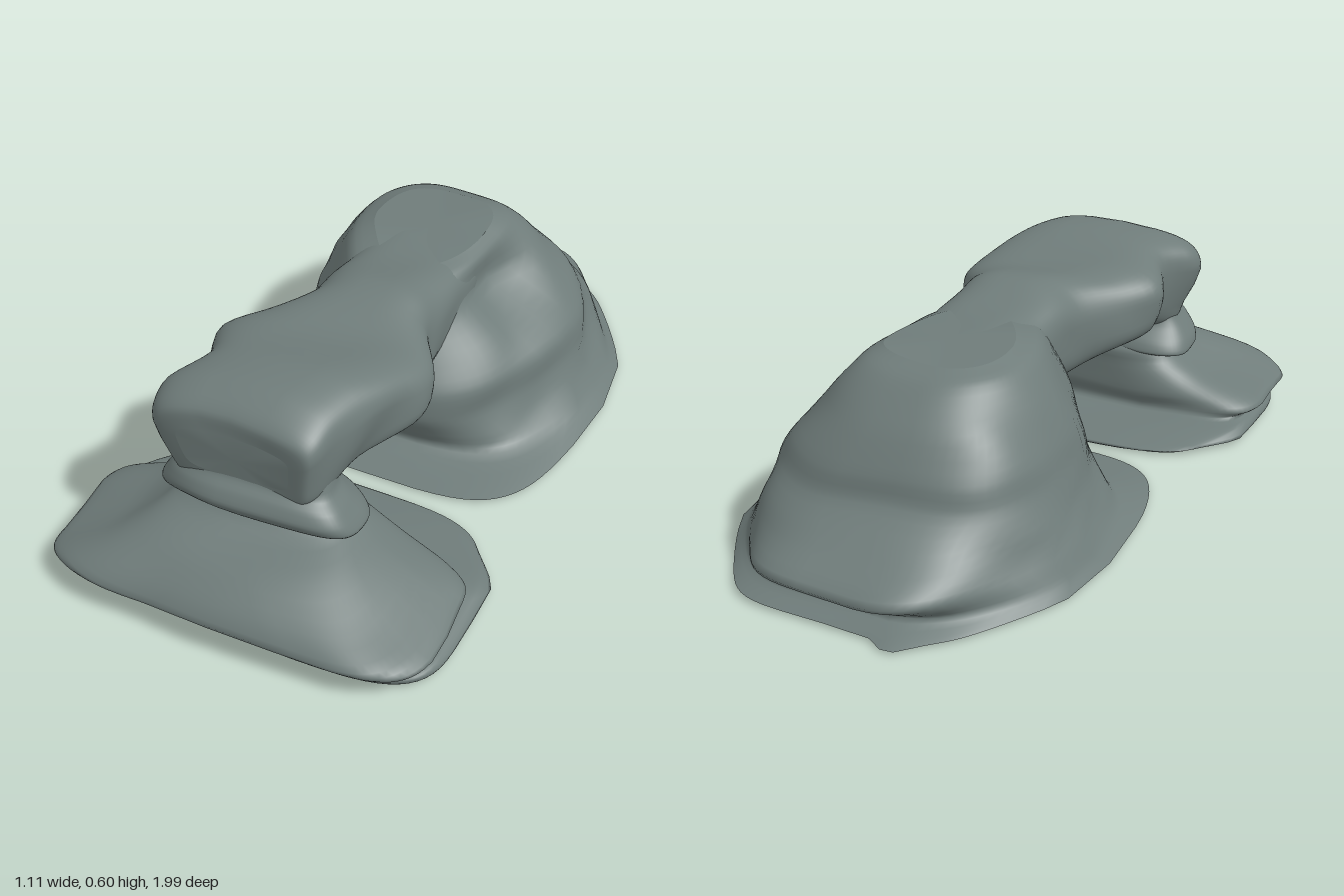
import * as THREE from 'three';

const SIDES = 64;
const { smoothstep } = THREE.MathUtils;
const bump = (t, width) => Math.exp(-((t / width) ** 2));

// Rounded-rectangle ring from bounds; place(u, v) puts it in space
function boxRing(u0, u1, v0, v1, power, place) {
  return Array.from({ length: SIDES }, (_, i) => {
    const a = (i / SIDES) * Math.PI * 2, c = Math.cos(a), s = Math.sin(a);
    const bend = (t) => Math.sign(t) * Math.abs(t) ** (2 / power);
    return place((u0 + u1) / 2 + bend(c) * (u1 - u0) / 2, (v0 + v1) / 2 + bend(s) * (v1 - v0) / 2);
  });
}

// Gentle weathering that leaves the ground level alone
function weather(p) {
  const k = 0.006 * Math.min(1, p.y / 0.1);
  p.x += k * Math.sin(17 * p.z + 9 * p.y) + k * 0.5 * Math.sin(31 * p.y + 23 * p.z);
  p.z += k * Math.sin(15 * p.x + 11 * p.y);
  p.y = Math.max(0, p.y + k * 0.8 * Math.sin(13 * p.x + 14 * p.z));
  return p;
}

// Skin through rings, splined between them, with both ends capped
function loft(rings, steps) {
  const rows = (rings.length - 1) * steps;
  const columns = rings[0].map((_, i) =>
    new THREE.CatmullRomCurve3(rings.map((r) => r[i]), false, 'catmullrom', 0.4));
  const pos = [], idx = [];
  const add = (p) => pos.push(p.x, p.y, p.z) / 3 - 1;
  const at = (i) => new THREE.Vector3().fromArray(pos, i * 3);
  for (let r = 0; r <= rows; r++)
    for (const c of columns) add(weather(c.getPoint(r / rows)));
  for (let r = 0; r < rows; r++)
    for (let i = 0; i < SIDES; i++) {
      const a = r * SIDES + i, b = r * SIDES + (i + 1) % SIDES;
      idx.push(a, b, a + SIDES, b, b + SIDES, a + SIDES);
    }
  for (const row of [0, rows]) {
    const ring = Array.from({ length: SIDES }, (_, i) => at(row * SIDES + i));
    const mid = ring.reduce((m, p) => m.addScaledVector(p, 1 / SIDES), new THREE.Vector3());
    const ids = ring.map(add), m = add(mid);
    ids.forEach((a, i) => {
      const b = ids[(i + 1) % SIDES];
      idx.push(...(row === 0 ? [b, a, m] : [a, b, m]));
    });
  }
  // Turn the skin outward if the rings run the other way
  let volume = 0;
  for (let i = 0; i < idx.length; i += 3)
    volume += at(idx[i]).dot(at(idx[i + 1]).cross(at(idx[i + 2])));
  if (volume < 0) idx.reverse();
  const g = new THREE.BufferGeometry();
  g.setAttribute('position', new THREE.Float32BufferAttribute(pos, 3));
  g.setIndex(idx);
  g.computeVertexNormals();
  return g;
}

export function createModel() {
  const group = new THREE.Group();
  group.name = 'rockArch';
  const stone = new THREE.MeshStandardMaterial({ color: 0x6f7c7a });
  stone.name = 'grey stone';
  const add = (name, geometry) => {
    const mesh = new THREE.Mesh(geometry, stone);
    mesh.name = name;
    group.add(mesh);
  };

  // Rear mass, from thin ground skirt to ridge:
  // [height, x min, x max, z min, z max, width left at front, width left at back, squareness]
  add('rearRock', loft([
    [0.012, -.49, .55, -.95, .215, .92, .72, 4.5],
    [0.045, -.46, .51, -.89, .07, .9, .75, 3.5],
    [0.1, -.43, .47, -.97, .09, .85, .75, 3.2],
    [0.17, -.39, .435, -.87, .13, .75, .85, 3],
    [0.25, -.36, .42, -.76, .13, .72, .95, 3],
    [0.32, -.34, .37, -.73, .1, .7, 1, 3],
    [0.42, -.29, .28, -.66, .06, .65, 1, 3],
    [0.51, -.23, .22, -.56, 0, .7, 1, 3],
    [0.54, -.17, .17, -.49, -.1, .7, 1, 3],
  ].map(([y, x0, x1, z0, z1, front, back, n]) => boxRing(x0, x1, z0, z1, n, (x, z) => {
    const narrow = (1 - (1 - front) * smoothstep(z, z0 + (z1 - z0) * 0.45, z1))
      * (1 - (1 - back) * smoothstep(-z, 0.45, 0.92));
    const spike = y < 0.03 && z < -0.8 ? 0.05 * bump(x * narrow + 0.18, 0.05) : 0;
    const hollow = x > 0 ? 0.09 * bump(z + 0.27, 0.14) * bump(y - 0.41, 0.1) : 0;
    return new THREE.Vector3(x * narrow - hollow * Math.min(1, x / 0.2), y, z - spike);
  })), 4));

  // Front foot: [height, x min, x max, z min, z max, squareness]
  add('frontFoot', loft([
    [0.005, -.5, .5, .28, .91, 4],
    [0.018, -.55, .55, .275, .93, 4.5],
    [0.04, -.54, .53, .4, .93, 5],
    [0.052, -.52, .5, .48, .92, 5],
    [0.075, -.56, .53, .49, .97, 5],
    [0.105, -.5, .49, .48, .995, 4.5],
    [0.15, -.39, .38, .48, .96, 4],
    [0.2, -.31, .27, .48, .88, 3.2],
    [0.24, -.27, .2, .48, .76, 2.8],
    [0.285, -.26, .17, .53, .71, 2.6],
  ].map(([y, x0, x1, z0, z1, n]) => boxRing(x0, x1, z0, z1, n, (x, z) =>
    new THREE.Vector3(x * (1 - 0.12 * smoothstep(0.5 - z, 0, 0.15)), y, z))), 3));

  // Drooping ledge and neck, highest at the front middle
  add('neckLedge', loft([
    [0.26, -.28, .18, .51, .72],
    [0.27, -.33, .24, .49, .755],
    [0.3, -.325, .23, .5, .77],
    [0.335, -.3, .2, .53, .755],
    [0.365, -.28, .165, .54, .73],
    [0.42, -.27, .15, .54, .72],
  ].map(([y, x0, x1, z0, z1]) => boxRing(x0, x1, z0, z1, 3, (x, z) =>
    new THREE.Vector3(x, y + 0.1 * (z - 0.72) - 0.35 * (x + 0.03) ** 2, z))), 4));

  // Bridge from the rear ridge to the blunt head: [z, x min, x max, y min, y max]
  add('bridge', loft([
    [-.5, -.12, .14, .42, .52],
    [-.35, -.17, .17, .38, .53],
    [-.1, -.17, .18, .3, .55],
    [.05, -.17, .19, .28, .575],
    [.13, -.19, .2, .28, .572],
    [.25, -.28, .26, .31, .555],
    [.35, -.32, .27, .32, .565],
    [.5, -.28, .21, .32, .595],
    [.62, -.33, .18, .31, .595],
    [.69, -.32, .17, .32, .57],
    [.725, -.29, .15, .33, .54],
    [.73, -.23, .1, .37, .49],
  ].map(([z, x0, x1, y0, y1]) => {
    const head = smoothstep(z, 0.3, 0.6);
    return boxRing(x0, x1, y0, y1, 3 + 2 * head, (x, y) => {
      const tuck = 1 - 0.13 * head * smoothstep(0.5 - y, 0, 0.15);
      return new THREE.Vector3(x * tuck, y - 0.3 * head * x * x, z);
    });
  }), 4));

  return group;
}
